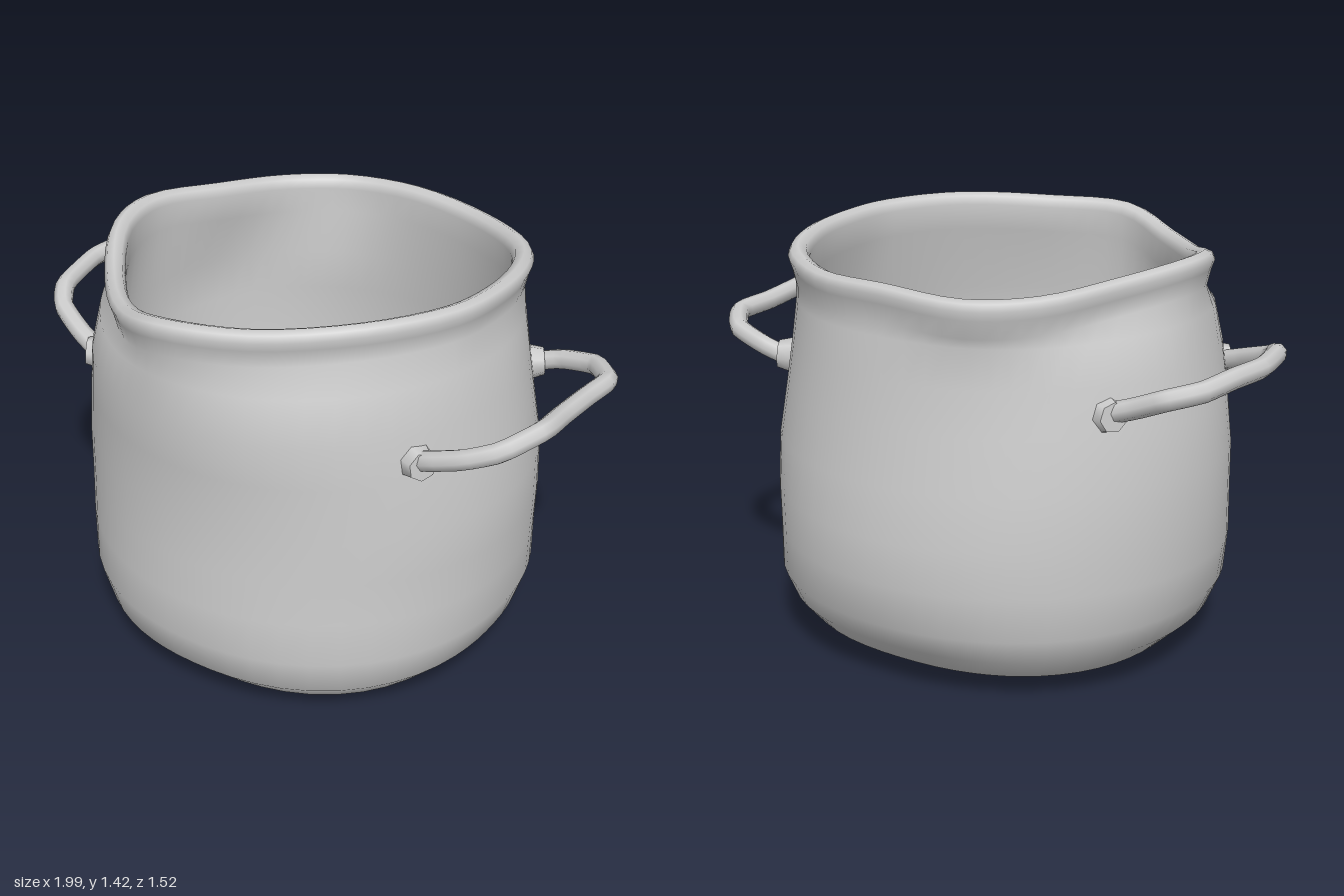
import * as THREE from 'three';

const N = 64;
const V = (p) => new THREE.Vector3(...p);

// Uneven lip centre line: x, y, z, running by rising angle from +x towards +z
const rimCurve = new THREE.CatmullRomCurve3([
  [0.655, 1.375, 0], [0.625, 1.385, 0.2], [0.47, 1.39, 0.45], [0.2, 1.375, 0.645],
  [-0.08, 1.365, 0.72], [-0.3, 1.31, 0.62], [-0.5, 1.305, 0.43], [-0.655, 1.35, 0.2],
  [-0.685, 1.36, 0], [-0.59, 1.335, -0.25], [-0.46, 1.31, -0.5], [-0.28, 1.305, -0.635],
  [0, 1.32, -0.65], [0.29, 1.315, -0.59], [0.53, 1.335, -0.425], [0.63, 1.36, -0.22],
].map(V), true);
const rim = Array.from({ length: N }, (_, j) => rimCurve.getPoint(j / N));

// Outside rings: y, reach to +x, -x, +z, -z, squareness (2 is round)
const outerRings = [
  [0.03, 0, 0, 0, 0, 2], [0.012, 0.36, 0.36, 0.46, 0.4, 2.5], [0.025, 0.56, 0.53, 0.56, 0.52, 2.4],
  [0.065, 0.66, 0.64, 0.65, 0.61, 2.3], [0.14, 0.735, 0.72, 0.725, 0.68, 2.2], [0.25, 0.77, 0.775, 0.762, 0.74, 2.1],
  [0.4, 0.775, 0.8, 0.757, 0.762, 2], [0.55, 0.78, 0.8, 0.745, 0.76, 2], [0.72, 0.78, 0.8, 0.737, 0.735, 2],
  [0.9, 0.75, 0.775, 0.742, 0.705, 2], [1.05, 0.725, 0.745, 0.755, 0.685, 2],
];
// Inside rings, top to floor; the -x wall slopes inward
const innerRings = [
  [1.05, 0.68, 0.67, 0.7, 0.63, 2], [0.9, 0.7, 0.66, 0.69, 0.65, 2], [0.72, 0.73, 0.64, 0.69, 0.67, 2],
  [0.55, 0.73, 0.61, 0.69, 0.68, 2], [0.4, 0.72, 0.58, 0.7, 0.68, 2], [0.25, 0.7, 0.54, 0.69, 0.66, 2],
  [0.14, 0.64, 0.48, 0.63, 0.59, 2], [0.08, 0.52, 0.38, 0.5, 0.46, 2], [0.07, 0, 0, 0, 0, 2],
];

function bodyRing([y, xp, xm, zp, zm, power]) {
  return rim.map((r) => {
    const a = Math.atan2(r.z, r.x), c = Math.cos(a), s = Math.sin(a);
    const k = (Math.abs(c) ** power + Math.abs(s) ** power) ** (-1 / power);
    const x = (c > 0 ? xp : xm) * c * k, z = (s > 0 ? zp : zm) * s * k;
    // the base dips a little at the front and lifts at the back
    const tilt = y < 0.2 ? -0.025 * z : 0;
    return new THREE.Vector3(x, Math.max(0, y + tilt), z);
  });
}

// Loop following the lip, scaled in plan and lowered
const lipRing = (scale, drop) => rim.map((r) => new THREE.Vector3(r.x * scale, r.y - drop, r.z * scale));
const mixRing = (a, b, t) => a.map((p, j) => p.clone().lerp(b[j], t));

function loft(loops) {
  const pos = loops.flatMap((l) => l.flatMap((p) => [p.x, p.y, p.z]));
  const index = [];
  for (let i = 0; i < loops.length - 1; i++) {
    for (let j = 0; j < N; j++) {
      const k = (j + 1) % N, a = i * N + j, b = i * N + k, c = a + N, d = b + N;
      index.push(a, c, b, b, c, d);
    }
  }
  const g = new THREE.BufferGeometry();
  g.setAttribute('position', new THREE.Float32BufferAttribute(pos, 3));
  g.setIndex(index);
  g.computeVertexNormals();
  return g;
}

export function createModel() {
  const group = new THREE.Group();
  const mat = new THREE.MeshStandardMaterial({ color: 0xcccccc, side: THREE.DoubleSide });
  const add = (name, geo, parent = group) => {
    const m = new THREE.Mesh(geo, mat);
    m.name = name;
    parent.add(m);
    return m;
  };

  // Pot wall: up the outside, flaring over the rolled lip, down the inside to the floor
  const shoulder = bodyRing([1.17, 0.705, 0.725, 0.74, 0.67, 2]);
  const neck = lipRing(1.015, 0.09);
  const outer = [...outerRings.map(bodyRing), mixRing(shoulder, neck, 0.25), neck];
  const lip = [[1.035, 0.03], [1.05, 0], [1.035, -0.022], [1, -0.032], [0.96, -0.02], [0.945, 0.01], [0.955, 0.1]]
    .map(([scale, drop]) => lipRing(scale, drop));
  add('potBody', loft([...outer, ...lip, ...innerRings.map(bodyRing)]));

  // Bent side handles with faceted collars where they meet the wall
  const handles = {
    leftHandle: [
      [0.6, 0.96, 0.385], [0.68, 0.99, 0.4], [0.79, 1.03, 0.395], [0.89, 1.07, 0.355], [0.96, 1.1, 0.22],
      [0.952, 1.08, 0.08], [0.95, 1.06, -0.1], [0.955, 1.05, -0.25], [0.86, 1.025, -0.365],
      [0.72, 0.99, -0.395], [0.6, 0.95, -0.375],
    ],
    rightHandle: [
      [-0.6, 0.95, 0.39], [-0.74, 0.995, 0.35], [-0.86, 1.035, 0.295], [-0.92, 1.07, 0.21],
      [-0.965, 1.08, 0], [-0.945, 1.08, -0.16], [-0.91, 1.065, -0.29], [-0.82, 1.04, -0.355],
      [-0.72, 1.0, -0.36], [-0.6, 0.96, -0.37],
    ],
  };
  for (const [name, pts] of Object.entries(handles)) {
    const handle = new THREE.Group();
    handle.name = name;
    group.add(handle);
    const curve = new THREE.CatmullRomCurve3(pts.map(V), false, 'catmullrom', 0.25);
    add('handleBar', new THREE.TubeGeometry(curve, 36, 0.034, 8), handle);
    for (const z of [0.395, -0.375]) {
      const x = Math.sign(pts[0][0]) * 0.637;
      const collar = add('handleCollar', new THREE.CylinderGeometry(0.048, 0.064, 0.06, 7), handle);
      collar.position.set(x, 0.965, z);
      collar.quaternion.setFromUnitVectors(new THREE.Vector3(0, 1, 0), new THREE.Vector3(x, 0.06, z).normalize());
    }
  }
  return group;
}
